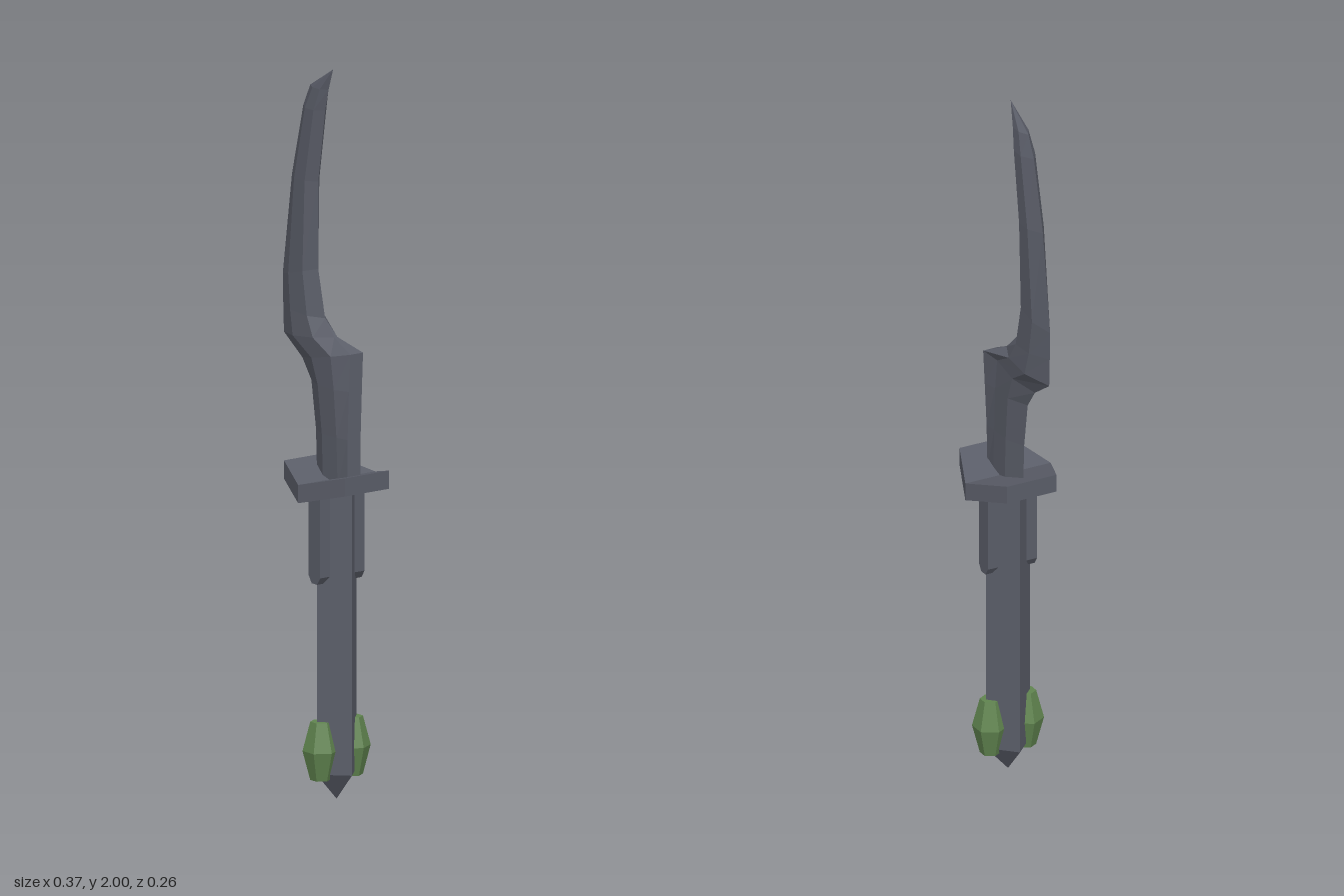
import * as THREE from 'three';

const steel = new THREE.MeshStandardMaterial({ color: 0x5a5d68, flatShading: true });
steel.name = 'dark steel';
const green = new THREE.MeshStandardMaterial({ color: 0x60844f, flatShading: true });
green.name = 'green gem';

const AXIS = 0.05; // x of the handle's centre line

function part(name, geometry, material, x = 0, y = 0, z = 0) {
  const mesh = new THREE.Mesh(geometry, material);
  mesh.name = name;
  mesh.position.set(x, y, z);
  return mesh;
}

// Curved blade lofted through cross-sections:
// [left x, left y, right x, right y, half thickness, right end front z, right end back z]
function bladeGeometry() {
  const sections = [
    [-0.035, 0.87, 0.125, 0.87, 0.025, 0.022, -0.022],
    [-0.04, 1.0, 0.12, 1.0, 0.025, 0.017, -0.027],
    [-0.06, 1.13, 0.114, 1.13, 0.027, 0.008, -0.036],
    [-0.1, 1.185, 0.11, 1.23, 0.028, 0, -0.043],
    [-0.18, 1.24, 0.04, 1.265, 0.032, 0, -0.01],
    [-0.183, 1.32, 0.0, 1.31, 0.028, 0, 0],
    [-0.185, 1.4, -0.03, 1.44, 0.025, 0, 0],
    [-0.145, 1.68, -0.03, 1.68, 0.025, 0, 0],
    [-0.095, 1.88, 0.0, 1.88, 0.022, 0, 0],
    [-0.065, 1.94, 0.015, 1.94, 0.015, 0, 0],
    [0.035, 2.0, 0.035, 2.0, 0, 0, 0],
  ];
  const positions = [];
  for (const [lx, ly, rx, ry, h, front, back] of sections) {
    const ring = [[0, 0], [0.36, h], [0.76, h], [1, front], [1, back], [0.76, -h], [0.36, -h]];
    for (const [t, z] of ring) {
      positions.push(lx + (rx - lx) * t, ly + (ry - ly) * t, z);
    }
  }
  const index = [];
  const n = 7;
  for (let i = 0; i < sections.length - 1; i++) {
    for (let j = 0; j < n; j++) {
      const a = i * n + j, b = i * n + (j + 1) % n;
      index.push(a, b, b + n, a, b + n, a + n);
    }
  }
  const geometry = new THREE.BufferGeometry();
  geometry.setAttribute('position', new THREE.Float32BufferAttribute(positions, 3));
  geometry.setIndex(index);
  const flat = geometry.toNonIndexed();
  flat.computeVertexNormals();
  return flat;
}

// Hexagonal guard, folded into a shallow V along its middle
function guardGeometry() {
  const geometry = new THREE.BoxGeometry(0.266, 0.05, 2, 2, 1, 1);
  const p = geometry.attributes.position;
  for (let i = 0; i < p.count; i++) {
    const side = Math.abs(p.getX(i)) / 0.133;
    p.setY(i, p.getY(i) + 0.035 * side);
    p.setZ(i, p.getZ(i) * (0.13 - 0.055 * side));
  }
  geometry.computeVertexNormals();
  return geometry;
}

// Strap running through the grip, with a chamfered lower end
function strapGeometry() {
  const shape = new THREE.Shape();
  shape.moveTo(-0.025, 0.86);
  shape.lineTo(-0.025, 0.62);
  shape.lineTo(-0.012, 0.6);
  shape.lineTo(0.012, 0.6);
  shape.lineTo(0.025, 0.62);
  shape.lineTo(0.025, 0.86);
  shape.closePath();
  return new THREE.ExtrudeGeometry(shape, { depth: 0.15, bevelEnabled: false });
}

export function createModel() {
  const group = new THREE.Group();
  group.name = 'curvedDagger';

  group.add(part('blade', bladeGeometry(), steel));
  group.add(part('guard', guardGeometry(), steel, AXIS, 0.855, 0));

  // Four-sided grip with its pointed pommel
  group.add(part('grip', new THREE.CylinderGeometry(0.067, 0.067, 0.78, 4), steel, AXIS, 0.465, 0));
  const pommel = new THREE.CylinderGeometry(0.067, 0, 0.075, 4);
  group.add(part('pommel', pommel, steel, AXIS, 0.0375, 0));
  group.add(part('gripStrap', strapGeometry(), steel, AXIS, 0, -0.075));

  // Faceted gems, one on the front and one on the back
  const profile = [[0, -0.08], [0.028, -0.08], [0.049, 0], [0.028, 0.08], [0, 0.08]]
    .map(([r, y]) => new THREE.Vector2(r, y));
  const gem = new THREE.LatheGeometry(profile, 6, Math.PI / 6);
  for (const side of [1, -1]) {
    group.add(part(side > 0 ? 'frontGem' : 'backGem', gem, green, AXIS, 0.14, side * 0.054));
  }
  return group;
}
